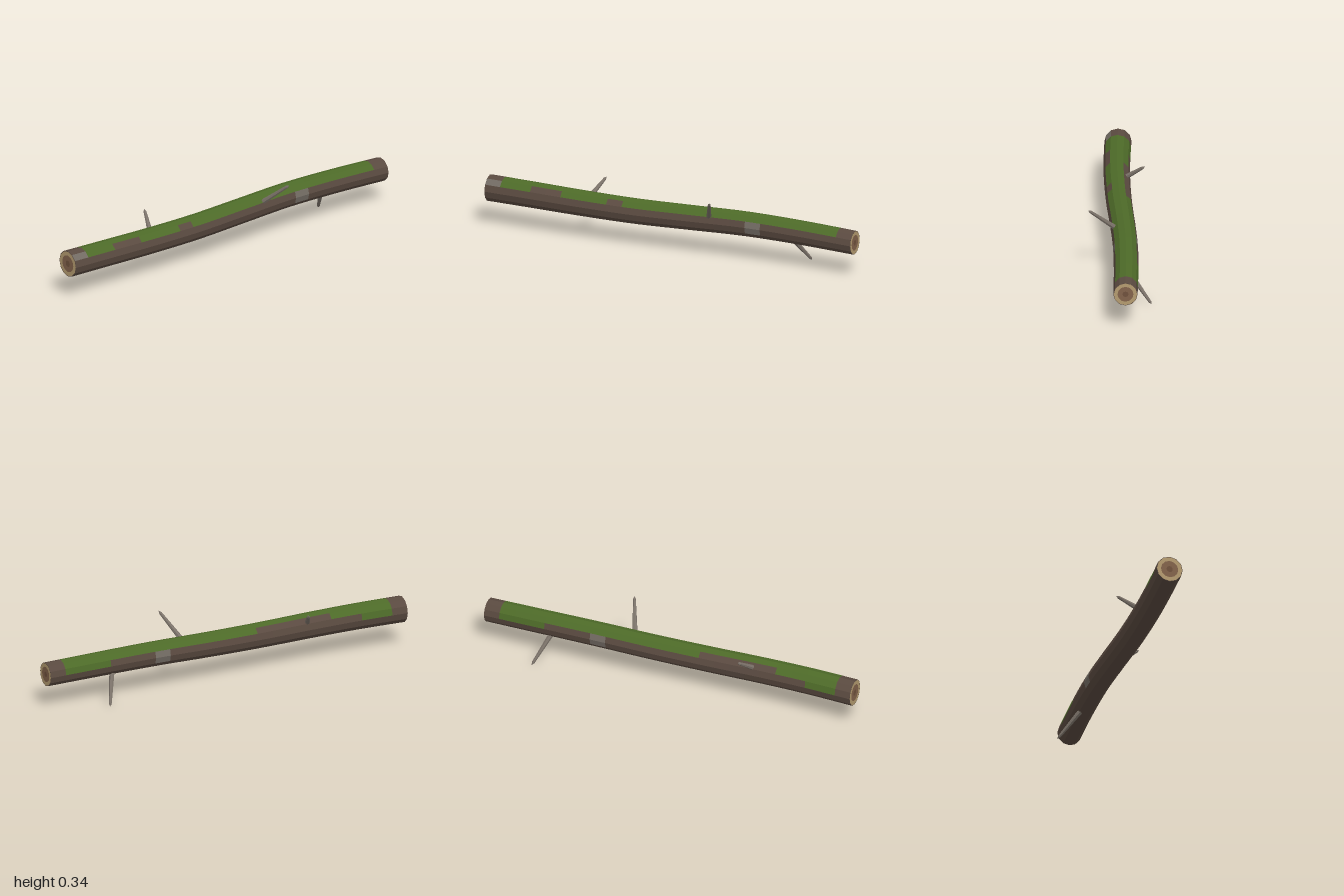
import * as THREE from 'three';

const SEGMENTS = 24, SIDES = 12;

// spine of the log: gentle bend in y and z, slight taper
const spine = new THREE.CatmullRomCurve3([
  [-1, 0.187, -0.017], [-0.75, 0.186, -0.007], [-0.5, 0.182, -0.003], [-0.2, 0.178, -0.008],
  [0.1, 0.182, -0.020], [0.4, 0.188, -0.028], [0.7, 0.184, -0.026], [1, 0.175, -0.017],
].map(p => new THREE.Vector3(...p)));
const radiusAt = x => 0.0645 - 0.0035 * x;

const material = color => new THREE.MeshStandardMaterial({ color, flatShading: true, roughness: 1 });
const materials = {
  bark: material(0x5a4a40), moss: material(0x4d6a28), bareWood: material(0x726b63),
  twig: material(0x7b7269), sapwood: material(0xb59c70), heartwood: material(0x83634b), pith: material(0x70523d),
};

// centre of the log at a given x
function centreAt(x) {
  let lo = 0, hi = 1;
  for (let k = 0; k < 24; k++) {
    const mid = (lo + hi) / 2;
    if (spine.getPoint(mid).x < x) lo = mid; else hi = mid;
  }
  const p = spine.getPoint(lo);
  p.x = x;
  return p;
}

// surface type of one panel: s counts along x, f counts around from the front over the top
function panelType(s, f) {
  const between = (a, b) => s >= a && s < b;
  if (s === 0 && f === 1) return 'bareWood';
  if (s === 17 && (f === 0 || f === 11)) return 'bareWood';
  if (s === 16 && (f === 5 || f === 6)) return 'bareWood';
  if (!between(1, 23)) return 'bark';
  if (f === 2 || f === 3) return 'moss';
  if (f === 1) return between(3, 5) || s === 8 ? 'bark' : 'moss';
  if (f === 4) return between(5, 10) ? 'bark' : 'moss';
  if (f === 5) return between(1, 3) || between(20, 23) ? 'moss' : 'bark';
  return 'bark';
}

function buildTrunk(group) {
  const rows = [];
  for (let s = 0; s <= SEGMENTS; s++) {
    const x = -1 + 2 * s / SEGMENTS, c = centreAt(x), r = radiusAt(x), row = [];
    for (let f = 0; f < SIDES; f++) {
      const a = f / SIDES * Math.PI * 2;
      row.push([x, c.y + r * Math.sin(a), c.z + r * Math.cos(a)]);
    }
    rows.push(row);
  }
  const panels = { bark: [], moss: [], bareWood: [] };
  for (let s = 0; s < SEGMENTS; s++) {
    for (let f = 0; f < SIDES; f++) {
      const g = (f + 1) % SIDES;
      const a = rows[s][f], b = rows[s + 1][f], c = rows[s + 1][g], d = rows[s][g];
      panels[panelType(s, f)].push(...a, ...b, ...c, ...a, ...c, ...d);
    }
  }
  for (const [name, positions] of Object.entries(panels)) {
    const geometry = new THREE.BufferGeometry();
    geometry.setAttribute('position', new THREE.Float32BufferAttribute(positions, 3));
    geometry.computeVertexNormals();
    const mesh = new THREE.Mesh(geometry, materials[name]);
    mesh.name = name;
    group.add(mesh);
  }
}

// cut end: concentric flat rings
function buildCutEnd(side) {
  const end = new THREE.Group();
  end.name = side > 0 ? 'leftCutEnd' : 'rightCutEnd';
  const r = radiusAt(side);
  const rings = [['pith', 0, 0.24], ['heartwood', 0.24, 0.66], ['sapwood', 0.66, 0.96], ['bark', 0.96, 1]];
  for (const [name, inner, outer] of rings) {
    const geometry = inner
      ? new THREE.RingGeometry(inner * r, outer * r, SIDES)
      : new THREE.CircleGeometry(outer * r, SIDES);
    const mesh = new THREE.Mesh(geometry, materials[name]);
    mesh.name = name + 'Ring';
    end.add(mesh);
  }
  end.rotation.y = side * Math.PI / 2;
  end.position.copy(centreAt(side));
  return end;
}

// tapered twig with a short pointed tip, running from base to tip
function buildTwig(base, tip) {
  const from = new THREE.Vector3(...base), to = new THREE.Vector3(...tip);
  const length = from.distanceTo(to);
  const profile = [[0.0135, 0], [0.0075, length - 0.014], [0.0005, length]].map(p => new THREE.Vector2(...p));
  const twig = new THREE.Mesh(new THREE.LatheGeometry(profile, 7), materials.twig);
  twig.name = 'twig';
  twig.position.copy(from);
  twig.quaternion.setFromUnitVectors(new THREE.Vector3(0, 1, 0), to.sub(from).normalize());
  return twig;
}

export function createModel() {
  const model = new THREE.Group();
  model.name = 'mossyLog';
  buildTrunk(model);
  model.add(buildCutEnd(1), buildCutEnd(-1));
  model.add(
    buildTwig([0.215, 0.213, 0.017], [0.278, 0.335, 0.156]),
    buildTwig([0.645, 0.135, -0.052], [0.706, 0.0, -0.154]),
    buildTwig([-0.455, 0.216, -0.046], [-0.414, 0.288, -0.141]),
  );
  return model;
}
